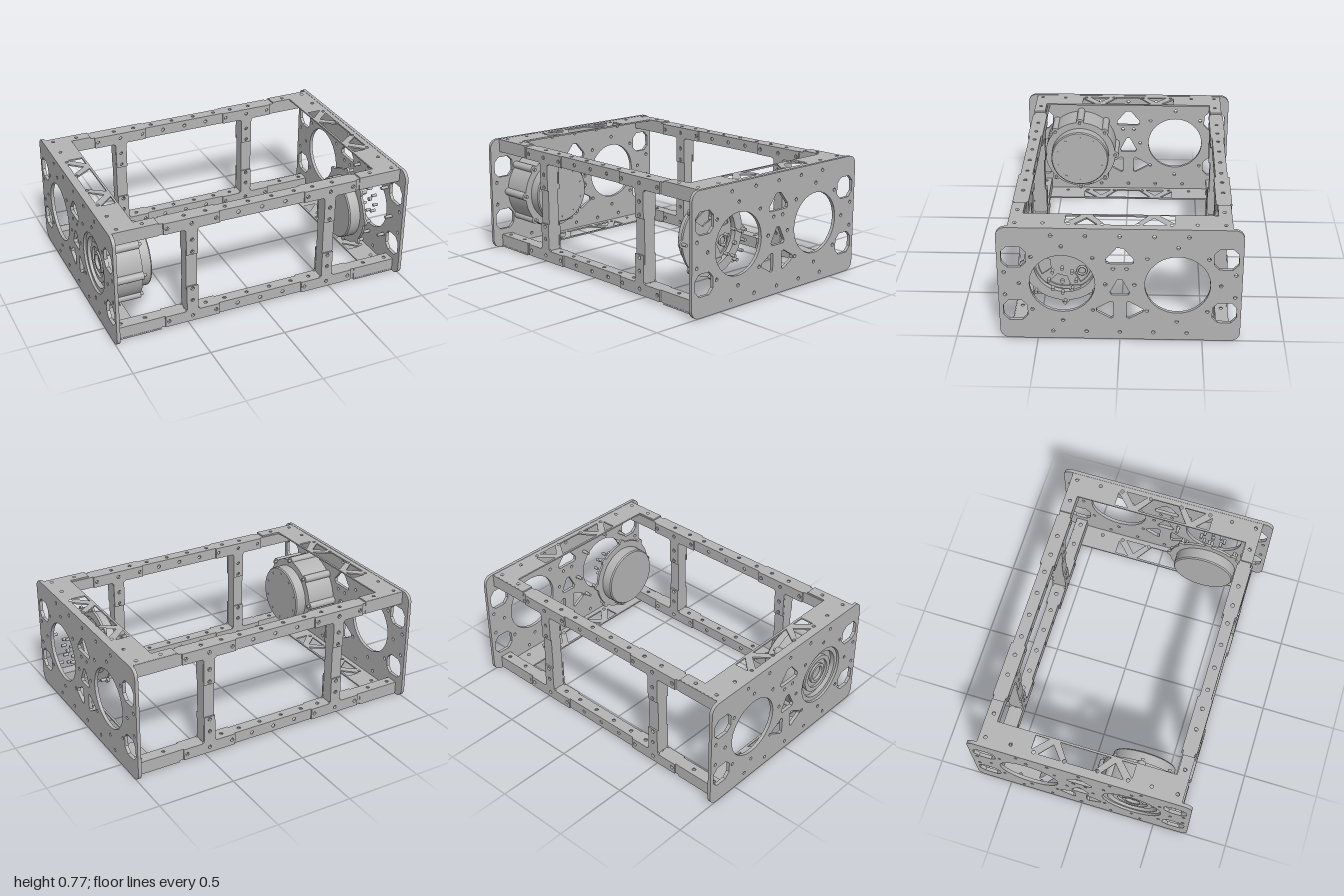
import * as THREE from 'three';
import { toCreasedNormals } from 'three/addons/utils/BufferGeometryUtils.js';

const HALF = Math.PI / 2;
const MOTOR = { y: 0.39, z: 0.345 };

export function createModel() {
  const root = new THREE.Group();
  const metal = new THREE.MeshStandardMaterial({ color: 0xb4b4b4 });
  metal.name = 'grey metal';

  const add = (name, geo, parent = root) => {
    const m = new THREE.Mesh(geo, metal);
    m.name = name;
    parent.add(m);
    return m;
  };
  const poly = (pts, Type = THREE.Path) => new Type(pts.map(p => new THREE.Vector2(p[0], p[1])));
  const circle = (x, y, r) => new THREE.Path().absarc(x, y, r, 0, Math.PI * 2, true);
  const rect = (x0, x1, y0, y1) => poly([[x0, y0], [x1, y0], [x1, y1], [x0, y1]], THREE.Shape);
  const sheet = (shape, holes, depth, segs = 12) => {
    shape.holes.push(...holes);
    return new THREE.ExtrudeGeometry(shape, { depth, bevelEnabled: false, curveSegments: segs });
  };
  // Eight points of a bolt circle: [u, v]
  const ring = (u, v, r, n = 8) => Array.from({ length: n }, (_, i) =>
    [u + r * Math.cos(i / n * Math.PI * 2), v + r * Math.sin(i / n * Math.PI * 2)]);
  const lathe = (pts) => toCreasedNormals(
    new THREE.LatheGeometry(pts.map(p => new THREE.Vector2(p[0], p[1])), 56).rotateZ(-HALF), 0.5);
  const rod = (x0, x1, r) => new THREE.CylinderGeometry(r, r, x1 - x0, 16).rotateZ(HALF).translate((x0 + x1) / 2, 0, 0);

  // Hollow square tube along x, with drilled walls
  const tube = (name, len, h, d, faceHoles, topHoles) => {
    const g = new THREE.Group(), t = 0.008;
    g.name = name;
    for (const s of [-1, 1]) {
      add('tubeFace', sheet(rect(-len / 2, len / 2, -h / 2, h / 2),
        faceHoles.map(x => circle(x, 0, 0.012)), t).translate(0, 0, s * (d / 2 - t / 2) - t / 2), g);
      add('tubeWall', sheet(rect(-len / 2, len / 2, -d / 2 + t, d / 2 - t),
        topHoles.map(x => circle(x, 0, 0.012)), t).rotateX(-HALF).translate(0, s * (h / 2 - t / 2) - t / 2, 0), g);
    }
    root.add(g);
    return g;
  };

  // Side plates: rounded rectangle with motor openings and lightening holes
  const sidePlateGeo = () => {
    const w = 0.73, h = 0.77, r = 0.06, s = new THREE.Shape();
    s.moveTo(-w + r, 0).lineTo(w - r, 0);
    s.absarc(w - r, r, r, -HALF, 0).absarc(w - r, h - r, r, 0, HALF);
    s.absarc(-w + r, h - r, r, HALF, Math.PI).absarc(-w + r, r, r, Math.PI, Math.PI * 1.5);
    const holes = [
      poly([[-0.02, 0.642], [0.02, 0.642], [0.083, 0.565], [0.08, 0.54], [0.068, 0.535], [-0.068, 0.535], [-0.08, 0.54], [-0.083, 0.565]]),
      poly([[-0.012, 0.428], [0.012, 0.428], [0.06, 0.335], [0.05, 0.317], [-0.05, 0.317], [-0.06, 0.335]]),
    ];
    const small = [];
    for (const k of [-1, 1]) {
      holes.push(circle(k * MOTOR.z, MOTOR.y, 0.196));
      holes.push(poly([[k * 0.14, 0.2], [k * 0.14, 0.22], [k * 0.055, 0.272], [k * 0.04, 0.265], [k * 0.04, 0.157], [k * 0.055, 0.15]]));
      small.push(...ring(k * MOTOR.z, MOTOR.y, 0.258), [k * 0.04, 0.5], [k * 0.69, 0.31], [k * 0.69, 0.465]);
      for (const y of [0.2, 0.572]) holes.push(poly([[0.073, 0.035], [0.04, 0.07], [-0.04, 0.07], [-0.073, 0.035],
        [-0.073, -0.035], [-0.04, -0.07], [0.04, -0.07], [0.073, -0.035]].map(p => [k * 0.63 + p[0], y + p[1]])));
    }
    for (const y of [0.052, 0.72]) for (let i = -2; i <= 2; i++) small.push([i * 0.203, y]);
    holes.push(...small.map(p => circle(p[0], p[1], 0.011)));
    return sheet(s, holes, 0.022, 20).rotateY(HALF);
  };
  add('leftSidePlate', sidePlateGeo()).position.x = 0.978;
  add('rightSidePlate', sidePlateGeo()).position.x = -1;

  // Horizontal gussets with truss cutouts, joining side plates to the rails
  const gussetGeo = (k) => {
    const P = pts => pts.map(p => [p[0] * k, p[1]]);
    const s = poly(P([[0.978, -0.66], [0.685, -0.66], [0.685, -0.582], [0.818, -0.582],
      [0.818, 0.582], [0.685, 0.582], [0.685, 0.66], [0.978, 0.66]]), THREE.Shape);
    const cuts = [poly(P([[0.832, -0.165], [0.945, -0.085], [0.945, 0.085], [0.832, 0.165]]))];
    const dots = [];
    for (const m of [-1, 1]) {
      cuts.push(poly(P([[0.945, m * 0.275], [0.945, m * 0.13], [0.86, m * 0.2]])));
      cuts.push(poly(P([[0.832, m * 0.325], [0.925, m * 0.325], [0.832, m * 0.235]])));
      dots.push([0.94, m * 0.305], [0.935, m * 0.455], [0.935, m * 0.62], [0.775, m * 0.62], [0.94, m * 0.106]);
    }
    return sheet(s, [...cuts, ...P(dots).map(p => circle(p[0], p[1], 0.011))], 0.01).rotateX(-HALF);
  };
  for (const k of [-1, 1]) {
    add('topGusset', gussetGeo(k)).position.y = 0.758;
    add('bottomGusset', gussetGeo(k)).position.y = 0.003;
    for (const z of [-0.66, 0.655]) for (const y of [0.724, 0.047])
      add('cornerFlange', new THREE.BoxGeometry(0.295, 0.086, 0.006)).position.set(k * 0.83, y, z);
  }

  // Front and back frames: rails, uprights and T brackets
  const railHoles = [-0.635, -0.475, -0.315, -0.16, 0, 0.16, 0.315, 0.475, 0.635];
  const topHoles = [0.08, 0.235, 0.365, 0.505, 0.775, 0.935].flatMap(x => [-x, x]);
  const legHoles = [0.17, 0.25, 0.52, 0.605];
  for (const z of [-0.622, 0.615]) {
    tube('topRail', 1.956, 0.076, 0.078, railHoles, topHoles).position.set(0, 0.72, z);
    tube('bottomRail', 1.956, 0.076, 0.078, railHoles, topHoles).position.set(0, 0.051, z);
    for (const k of [-1, 1]) {
      const up = tube('upright', 0.593, 0.074, 0.078, legHoles.map(y => y - 0.3855), []);
      up.rotation.z = HALF;
      up.position.set(k * 0.475, 0.3855, z);
      for (const f of [-1, 1]) for (const top of [true, false]) {
        const Y = y => top ? y : 0.771 - y;
        const s = poly([[-0.183, 0.758], [0.183, 0.758], [0.183, 0.682], [0.05, 0.682], [0.038, 0.67], [0.038, 0.5],
          [-0.038, 0.5], [-0.038, 0.67], [-0.05, 0.682], [-0.183, 0.682]].map(p => [p[0], Y(p[1])]), THREE.Shape);
        const holes = [[-0.16, 0.72], [0, 0.72], [0.16, 0.72], [0, 0.605], [0, 0.52]].map(p => circle(p[0], Y(p[1]), 0.012));
        add('teeBracket', sheet(s, holes, 0.01)).position.set(k * 0.473, 0, z + f * 0.044 - 0.005);
      }
    }
  }

  // Complete motor on the right side: ringed outer face, body and end cap
  const motor = new THREE.Group();
  motor.name = 'rightMotor';
  motor.position.set(0, MOTOR.y, MOTOR.z);
  root.add(motor);
  add('motorBody', lathe([[0, -0.955], [0.05, -0.955], [0.05, -0.975], [0.07, -0.975], [0.07, -0.96], [0.1, -0.96],
    [0.1, -0.975], [0.13, -0.975], [0.13, -0.955], [0.165, -0.955], [0.165, -0.985], [0.193, -0.985], [0.193, -0.976],
    [0.253, -0.976], [0.253, -0.77], [0.207, -0.77], [0.207, -0.7], [0.2, -0.692], [0, -0.692]]), motor);
  for (const [y, z] of ring(0, 0, 0.253)) {
    add('motorRib', rod(-0.977, -0.77, 0.026), motor).position.set(0, y, z);
    add('motorBolt', rod(-0.995, -0.75, 0.0105), motor).position.set(0, y, z);
  }
  for (const [y, z] of ring(0, 0, 0.17, 10)) add('capScrew', rod(-0.7, -0.689, 0.007), motor).position.set(0, y, z);
  add('connector', new THREE.BoxGeometry(0.06, 0.05, 0.07), motor).position.set(-0.735, -0.18, -0.06);

  // Open motor cap on the left side, with its loose bolts
  const cap = new THREE.Group();
  cap.name = 'leftMotorCap';
  cap.position.set(0, MOTOR.y, MOTOR.z);
  root.add(cap);
  add('capShell', lathe([[0, 0.69], [0.2, 0.69], [0.207, 0.698], [0.207, 0.768], [0.253, 0.768], [0.253, 0.784],
    [0.193, 0.784], [0.193, 0.75], [0, 0.75]]), cap);
  const fan = new THREE.Shape().absarc(0, 0, 0.185, 0, Math.PI * 2);
  const slots = Array.from({ length: 5 }, (_, i) => {
    const a = i * Math.PI * 0.4 + 0.3, p = new THREE.Path();
    p.absarc(0, 0, 0.165, a, a + 0.85, false);
    p.absarc(0, 0, 0.09, a + 0.75, a + 0.1, true);
    p.closePath();
    return p;
  });
  add('fanPlate', sheet(fan, slots, 0.009, 24).rotateY(HALF), cap).position.x = 0.75;
  add('sensorRing', new THREE.TorusGeometry(0.028, 0.007, 8, 24).rotateY(HALF), cap).position.set(0.762, -0.05, -0.105);
  add('connector', new THREE.BoxGeometry(0.06, 0.05, 0.07), cap).position.set(0.735, -0.18, -0.06);
  for (const [y, z] of ring(0, 0, 0.253)) {
    add('capEar', rod(0.768, 0.784, 0.024), cap).position.set(0, y, z);
    add('capBolt', rod(0.775, 0.82, 0.0105), cap).position.set(0, y, z);
    add('plateBolt', rod(0.932, 0.99, 0.0105), cap).position.set(0, y, z);
  }
  for (const [y, z] of ring(0, 0, 0.083)) add('hubStud', rod(0.94, 0.975, 0.01), cap).position.set(0, y, z);
  add('hubCentre', rod(0.955, 0.975, 0.013), cap);

  return root;
}
